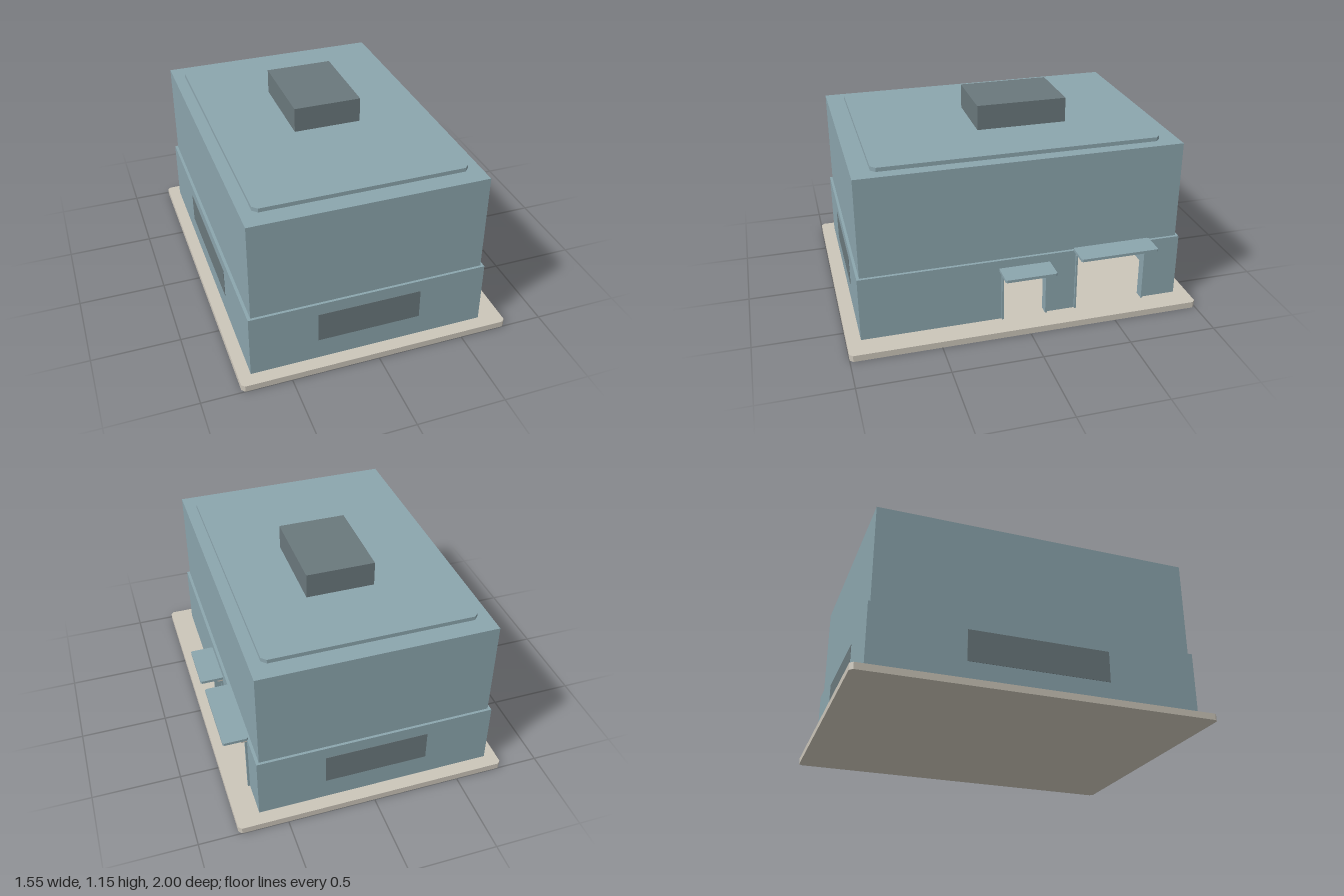
import * as THREE from 'three';

export function createModel() {
  const root = new THREE.Group();
  root.name = 'building';
  const mat = (name, color) => {
    const m = new THREE.MeshStandardMaterial({ color });
    m.name = name;
    return m;
  };
  const blue = mat('blueGreyWall', 0x8ba5ad);
  const stone = mat('paleStone', 0xcbc5b9);
  const dark = mat('darkGrey', 0x6a787c);

  const add = (name, geometry, material) => {
    const mesh = new THREE.Mesh(geometry, material);
    mesh.name = name;
    root.add(mesh);
    return mesh;
  };

  // Box given by its limits on each axis
  const box = (name, material, x0, x1, y0, y1, z0, z1) => {
    const g = new THREE.BoxGeometry(x1 - x0, y1 - y0, z1 - z0);
    g.translate((x0 + x1) / 2, (y0 + y1) / 2, (z0 + z1) / 2);
    return add(name, g, material);
  };

  // Flat slab with cut corners
  const slab = (name, material, x0, x1, y0, y1, z0, z1, c) => {
    const pts = [
      [x0 + c, z0], [x1 - c, z0], [x1, z0 + c], [x1, z1 - c],
      [x1 - c, z1], [x0 + c, z1], [x0, z1 - c], [x0, z0 + c],
    ].map(([x, z]) => new THREE.Vector2(x, -z));
    const g = new THREE.ExtrudeGeometry(new THREE.Shape(pts), { depth: y1 - y0, bevelEnabled: false });
    g.rotateX(-Math.PI / 2).translate(0, y0, 0);
    return add(name, g, material);
  };

  const floor = 0.037, ledge = 0.41, t = 0.04;
  const L = -0.707, R = 0.643, B = -0.922, F = 0.922;

  // Base and upper masses
  slab('base', stone, -0.777, 0.777, 0, floor, -1, 1, 0.018);
  box('upperStorey', blue, -0.69, 0.626, ledge, 0.98, -0.907, 0.907);
  slab('roofPanel', blue, -0.622, 0.558, 0.98, 1.003, -0.802, 0.802, 0.026);
  box('roofUnit', dark, -0.195, 0.193, 1.003, 1.146, -0.37, 0.148);

  // Hollow lower storey
  box('frontWall', blue, L, R, floor, ledge, F - t, F);
  box('backWall', blue, L, R, floor, ledge, B, B + t);
  box('leftSideWall', blue, L, L + t, floor, ledge, B + t, F - t);
  box('ceiling', blue, L + t, R - t, ledge - 0.02, ledge, B + t, F - t);

  // Doors: z limits, head height and awning height
  const doors = [
    { name: 'smallDoor', z0: -0.132, z1: 0.132, head: 0.325, awning: 0.346 },
    { name: 'largeDoor', z0: -0.72, z1: -0.297, head: 0.387, awning: 0.409 },
  ];

  // Side wall with door openings cut up from the floor
  const wall = new THREE.Shape();
  wall.moveTo(-F + t, floor);
  for (const d of doors) {
    wall.lineTo(-d.z1, floor);
    wall.lineTo(-d.z1, d.head);
    wall.lineTo(-d.z0, d.head);
    wall.lineTo(-d.z0, floor);
  }
  wall.lineTo(-B - t, floor);
  wall.lineTo(-B - t, ledge);
  wall.lineTo(-F + t, ledge);
  const wallGeo = new THREE.ExtrudeGeometry(wall, { depth: t, bevelEnabled: false });
  wallGeo.rotateY(Math.PI / 2).translate(R - t, 0, 0);
  add('doorWall', wallGeo, blue);

  // Jambs, lintel and awning for each door
  for (const d of doors) {
    box(d.name + 'FrontJamb', blue, R - t - 0.005, 0.655, floor, d.head, d.z1 - 0.01, d.z1);
    box(d.name + 'BackJamb', blue, R - t - 0.005, 0.655, floor, d.head, d.z0, d.z0 + 0.01);
    box(d.name + 'Lintel', stone, R - 0.01, 0.675, d.head, d.awning, d.z0, d.z1);
    slab(d.name + 'Awning', blue, R - 0.005, 0.777, d.awning, d.awning + 0.016, d.z0 - 0.014, d.z1 + 0.014, 0.008);
  }

  // Window plates on the three closed sides
  const w = 0.002, y0 = 0.162, y1 = 0.34;
  box('frontWindow', dark, -0.326, 0.262, y0, y1, F, F + w);
  box('backWindow', dark, -0.326, 0.262, y0, y1, B - w, B);
  box('leftSideWindow', dark, L - w, L, y0, y1, -0.4, 0.4);

  return root;
}
